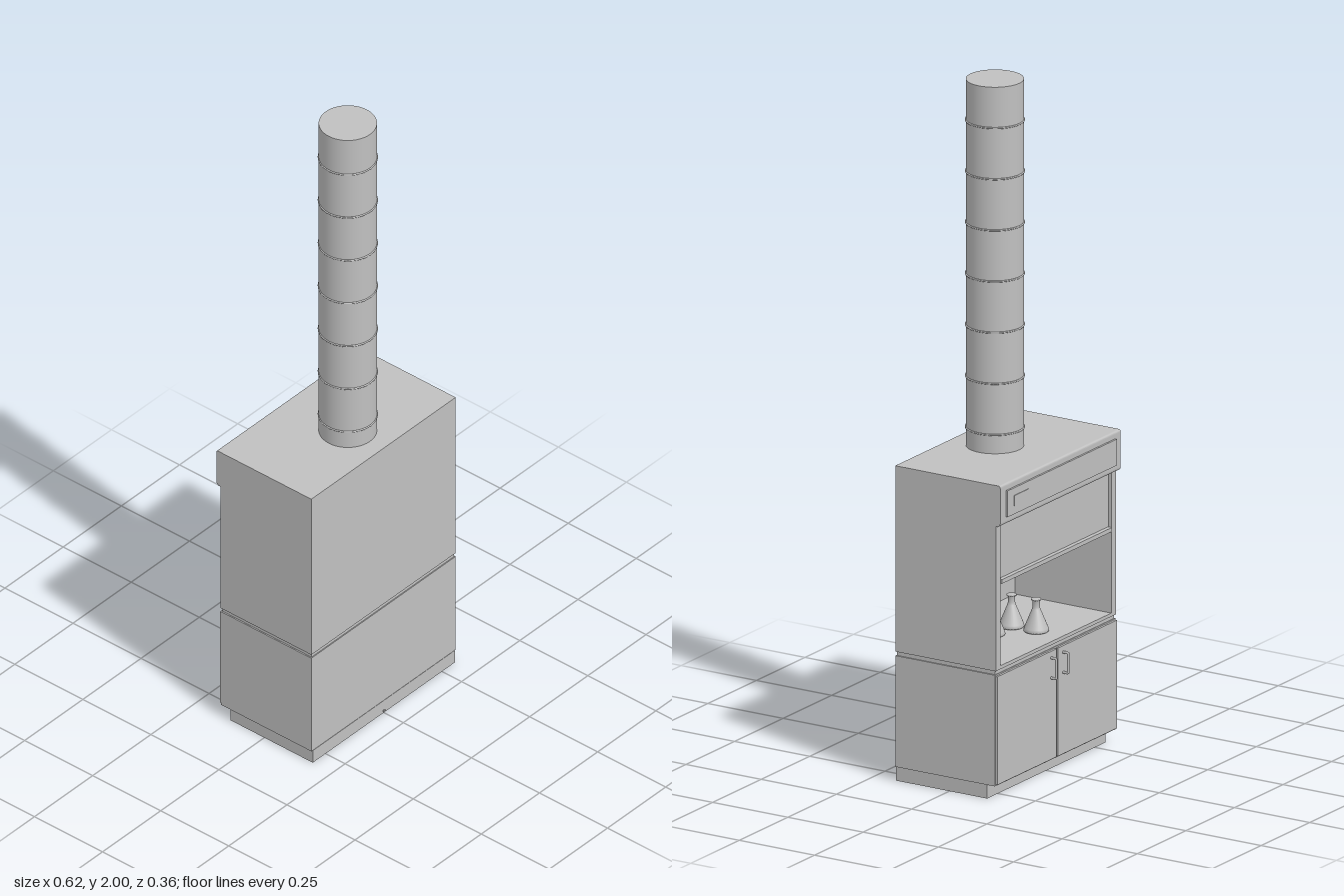
import * as THREE from 'three';

export function createModel() {
  const root = new THREE.Group();
  root.name = 'fumeHood';
  const metal = new THREE.MeshStandardMaterial({ color: 0xc0c0c0 });
  metal.name = 'light grey metal';

  const add = (name, geometry, x = 0, y = 0, z = 0, parent = root) => {
    const mesh = new THREE.Mesh(geometry, metal);
    mesh.name = name;
    mesh.position.set(x, y, z);
    parent.add(mesh);
    return mesh;
  };
  // Box given by its minimum and maximum corners
  const box = (name, x0, x1, y0, y1, z0, z1, parent = root) =>
    add(name, new THREE.BoxGeometry(x1 - x0, y1 - y0, z1 - z0),
      (x0 + x1) / 2, (y0 + y1) / 2, (z0 + z1) / 2, parent);

  // Base cabinet
  box('plinth', -0.305, 0.305, 0, 0.042, -0.125, 0.178);
  box('drainStub', -0.003, 0.003, 0.004, 0.01, 0.178, 0.182);
  box('baseCabinet', -0.31, 0.31, 0.042, 0.368, -0.154, 0.177);
  box('counterRecess', -0.306, 0.306, 0.368, 0.38, -0.152, 0.174);
  box('worktop', -0.31, 0.31, 0.38, 0.39, -0.157, 0.177);

  // Doors with bow handles
  for (const s of [-1, 1]) {
    const door = new THREE.Group();
    door.name = s > 0 ? 'leftDoor' : 'rightDoor';
    root.add(door);
    box('doorPanel', Math.min(s * 0.003, s * 0.308), Math.max(s * 0.003, s * 0.308),
      0.047, 0.364, -0.161, -0.154, door);
    const hx = s * 0.031;
    const path = new THREE.CurvePath();
    const pts = [[0.286, -0.16], [0.286, -0.178], [0.345, -0.178], [0.345, -0.16]]
      .map(([y, z]) => new THREE.Vector3(hx, y, z));
    for (let i = 0; i < 3; i++) path.add(new THREE.LineCurve3(pts[i], pts[i + 1]));
    add('handle', new THREE.TubeGeometry(path, 36, 0.004, 8), 0, 0, 0, door);
  }

  // Hollow work chamber
  for (const s of [-1, 1]) {
    box(s > 0 ? 'leftWall' : 'rightWall', s > 0 ? 0.285 : -0.31, s > 0 ? 0.31 : -0.285,
      0.39, 0.925, -0.157, 0.177);
  }
  box('rearWall', -0.285, 0.285, 0.39, 0.925, 0.163, 0.177);
  box('chamberCeiling', -0.285, 0.285, 0.865, 0.925, -0.157, 0.163);

  // Header across the opening, with softened lower edge
  const profile = new THREE.Shape();
  profile.moveTo(0.13, 0.805);
  profile.lineTo(0.163, 0.805);
  profile.quadraticCurveTo(0.172, 0.807, 0.172, 0.817);
  profile.lineTo(0.172, 0.918);
  profile.quadraticCurveTo(0.172, 0.925, 0.165, 0.925);
  profile.lineTo(0.13, 0.925);
  profile.closePath();
  const header = add('header', new THREE.ExtrudeGeometry(profile,
    { depth: 0.62, bevelEnabled: false, curveSegments: 6 }), -0.31, 0, 0);
  header.rotation.y = Math.PI / 2;
  box('controlPanel', -0.281, 0.281, 0.828, 0.905, -0.178, -0.17);
  box('display', 0.175, 0.25, 0.853, 0.883, -0.18, -0.177);

  // Sliding sash and its grip
  box('sash', -0.285, 0.285, 0.635, 0.83, -0.147, -0.141);
  box('sashGrip', -0.283, 0.283, 0.63, 0.642, -0.16, -0.141);

  // Exhaust duct with seams
  const duct = new THREE.Group();
  duct.name = 'exhaustDuct';
  duct.position.z = 0.046;
  root.add(duct);
  add('ductPipe', new THREE.CylinderGeometry(0.0815, 0.0815, 1.075, 48), 0, 1.4625, 0, duct);
  for (let i = 0; i < 7; i++) {
    const ring = add('ductSeam', new THREE.TorusGeometry(0.0815, 0.0027, 8, 48), 0, 0.98 + i * 0.15, 0, duct);
    ring.rotation.x = Math.PI / 2;
  }

  // Conical flasks on the worktop
  const flask = new THREE.LatheGeometry([
    [0, 0], [0.033, 0], [0.036, 0.004], [0.034, 0.012], [0.012, 0.066],
    [0.01, 0.073], [0.01, 0.09], [0.014, 0.092], [0.014, 0.096], [0, 0.096],
  ].map(([r, y]) => new THREE.Vector2(r, y)), 24);
  for (const [x, z] of [[0.06, 0.015], [-0.033, -0.07], [-0.03, 0.01]]) add('flask', flask, x, 0.39, z);

  return root;
}
